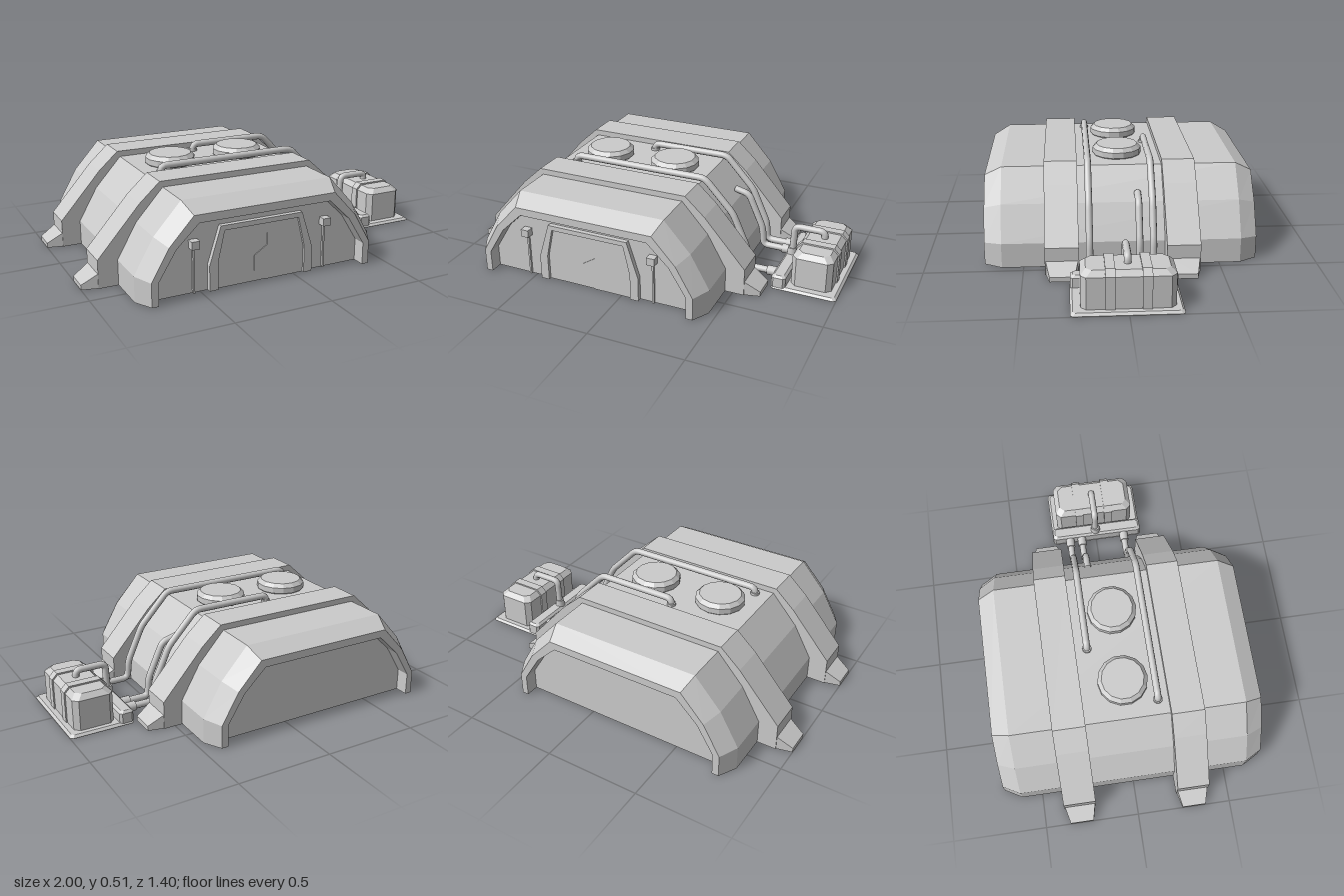
import * as THREE from 'three';

const flat = new THREE.MeshStandardMaterial({ color: 0xcccccc, flatShading: true, side: THREE.DoubleSide });
const smooth = new THREE.MeshStandardMaterial({ color: 0xcccccc });

function add(parent, name, geometry, material = flat) {
  const mesh = new THREE.Mesh(geometry, material);
  mesh.name = name;
  parent.add(mesh);
  return mesh;
}

// Skin over a list of cross-sections, each a list of [x, y, z]
function loft(rings, closed) {
  const n = rings[0].length, pos = [];
  for (let i = 0; i < rings.length - 1; i++) {
    for (let j = 0; j < (closed ? n : n - 1); j++) {
      const k = (j + 1) % n;
      const a = rings[i][j], b = rings[i][k], c = rings[i + 1][k], d = rings[i + 1][j];
      pos.push(...a, ...d, ...c, ...a, ...c, ...b);
    }
  }
  const g = new THREE.BufferGeometry();
  g.setAttribute('position', new THREE.Float32BufferAttribute(pos, 3));
  g.computeVertexNormals();
  return g;
}

// Half profile (x > 0, bottom to top) mirrored into a full arch
const arch = half => [...half, ...half.map(([x, y]) => [-x, y]).reverse()];
const toShape = pts => new THREE.Shape(pts.map(([x, y]) => new THREE.Vector2(x, y)));

function slab(pts, depth, z) {
  return new THREE.ExtrudeGeometry(toShape(pts), { depth, bevelEnabled: false }).translate(0, 0, z);
}

// Pipe through points with rounded corners
function pipe(points, radius, bend = 0.03) {
  const p = points.map(q => new THREE.Vector3(...q));
  const path = new THREE.CurvePath();
  let from = p[0];
  for (let i = 1; i < p.length - 1; i++) {
    const a = p[i].clone().add(p[i - 1].clone().sub(p[i]).setLength(bend));
    const b = p[i].clone().add(p[i + 1].clone().sub(p[i]).setLength(bend));
    path.add(new THREE.LineCurve3(from, a));
    path.add(new THREE.QuadraticBezierCurve3(a, p[i], b));
    from = b;
  }
  path.add(new THREE.LineCurve3(from, p[p.length - 1]));
  return new THREE.TubeGeometry(path, 90, radius, 10);
}

// Block with cut vertical corners and a bevelled top
function bevelBlock(x0, x1, z0, z1, y0, y1, c) {
  const ring = (y, s) => {
    const [a, b, d, e] = [x0 + s, x1 - s, z0 + s, z1 - s];
    return [[b, y, d + c], [b, y, e - c], [b - c, y, e], [a + c, y, e],
      [a, y, e - c], [a, y, d + c], [a + c, y, d], [b - c, y, d]];
  };
  const centre = y => Array(8).fill([(x0 + x1) / 2, y, (z0 + z1) / 2]);
  return loft([centre(y0), ring(y0, 0), ring(y1 - c, 0), ring(y1, c), centre(y1)], true);
}

const HULL = [[0.64, 0], [0.64, 0.13], [0.54, 0.305], [0.40, 0.46]];
const END = [[0.59, 0], [0.59, 0.12], [0.50, 0.275], [0.375, 0.41]];
const OPENING = [[0.555, 0], [0.555, 0.115], [0.465, 0.26], [0.35, 0.37]];
const RIB = [[0.74, 0], [0.74, 0.145], [0.52, 0.395], [0.415, 0.49]];

function createBuilding() {
  const building = new THREE.Group();
  building.name = 'building';

  // Shell with bevelled ends and a reveal around each end wall
  const sections = [[OPENING, 0.63], [OPENING, 0.7], [END, 0.7], [HULL, 0.61],
    [HULL, -0.61], [END, -0.7], [OPENING, -0.7], [OPENING, -0.63]];
  add(building, 'shell', loft(sections.map(([half, z]) => arch(half).map(([x, y]) => [x, y, z])), false));
  add(building, 'frontWall', new THREE.ShapeGeometry(toShape(arch(OPENING))).translate(0, 0, 0.63));
  add(building, 'backWall', new THREE.ShapeGeometry(toShape(arch(OPENING))).rotateY(Math.PI).translate(0, 0, -0.63));

  // Two arched ribs, each with a tapered foot on both sides
  for (const z of [0.305, -0.305]) {
    const band = [...arch(RIB), ...arch(HULL.map(([x, y]) => [x - 0.005, y && y - 0.005])).reverse()];
    add(building, 'rib', slab(band, 0.17, z - 0.085));
    const ring = (x, y, w) => [[x, y, w], [x, y, -w], [x, 0, -w], [x, 0, w]];
    for (const turn of [0, Math.PI]) {
      const foot = add(building, 'foot', loft([ring(0.73, 0.08, 0.083), ring(0.82, 0.025, 0.062),
        Array(4).fill([0.82, 0.012, 0])], true));
      foot.position.z = z;
      foot.rotation.y = turn;
    }
  }

  // Door frame and the two interlocking leaves
  const frameOuter = arch([[0.28, 0], [0.28, 0.13], [0.22, 0.32]]);
  const frameInner = arch([[0.235, 0], [0.235, 0.14], [0.2, 0.295]]);
  add(building, 'doorFrame', slab([...frameOuter, ...frameInner.slice().reverse()], 0.025, 0.63));
  const seam = [[-0.015, 0.295], [0.035, 0.265], [0.035, 0.18], [-0.035, 0.135], [-0.035, 0.055], [0.03, 0]];
  add(building, 'leftDoorLeaf', slab([...frameInner.slice(0, 3), ...seam], 0.012, 0.63));
  add(building, 'rightDoorLeaf', slab([...frameInner.slice(3), ...seam.slice().reverse()], 0.008, 0.63));

  // Lamps on thin conduits beside the door
  for (const side of [-1, 1]) {
    add(building, 'lamp', new THREE.BoxGeometry(0.042, 0.04, 0.04).translate(side * 0.355, 0.25, 0.65));
    add(building, 'lampConduit', new THREE.BoxGeometry(0.01, 0.235, 0.012).translate(side * 0.355, 0.1175, 0.636));
  }

  // Roof vents
  for (const x of [-0.2, 0.19]) {
    const profile = [[0.115, 0.45], [0.13, 0.465], [0.13, 0.495], [0.11, 0.515], [0, 0.515]];
    const vent = add(building, 'roofVent', new THREE.LatheGeometry(profile.map(q => new THREE.Vector2(...q)), 14));
    vent.position.x = x;
  }
  return building;
}

function createGenerator() {
  const generator = new THREE.Group();
  generator.name = 'generator';
  add(generator, 'basePlate', bevelBlock(0.66, 1, -0.258, 0.27, 0, 0.014, 0.012));
  add(generator, 'manifold', bevelBlock(0.66, 0.735, -0.255, 0.267, 0.01, 0.075, 0.012));
  add(generator, 'tank', bevelBlock(0.748, 0.96, -0.222, 0.222, 0.01, 0.2, 0.026));

  // Straps around the tank
  const strap = [[0.74, 0.01], [0.74, 0.178], [0.769, 0.208], [0.938, 0.208], [0.967, 0.178], [0.967, 0.01]];
  for (const z of [-0.085, 0.085]) add(generator, 'strap', slab(strap, 0.046, z - 0.023));

  // Pipe from the manifold over into the tank
  add(generator, 'tankPipe', pipe([[0.692, 0.06, 0], [0.7, 0.234, 0], [0.86, 0.234, 0], [0.86, 0.19, 0]], 0.018), smooth);
  add(generator, 'pipeCollar', new THREE.CylinderGeometry(0.024, 0.028, 0.04, 12).translate(0.692, 0.09, 0), smooth);
  return generator;
}

function createSupplyPipes() {
  const pipes = new THREE.Group();
  pipes.name = 'supplyPipes';
  const drop = [[0.41, 0.325], [0.495, 0.14], [0.505, 0.04], [0.66, 0.04]];
  const starts = [
    [0.165, [[-0.5, 0.44], [-0.5, 0.496], [0.25, 0.496]]],
    [-0.158, [[-0.18, 0.44], [-0.18, 0.496], [0.25, 0.496]]],
    [-0.088, [[0.33, 0.345]]],
  ];
  for (const [z, start] of starts) {
    add(pipes, 'supplyPipe', pipe([...start, ...drop].map(([x, y]) => [x, y, z]), 0.018), smooth);
    add(pipes, 'pipeFitting', new THREE.CylinderGeometry(0.025, 0.025, 0.05, 12)
      .rotateZ(Math.PI / 2).translate(0.637, 0.04, z), smooth);
    // Flange where a pipe enters the roof
    if (start.length > 1) {
      add(pipes, 'roofFlange', new THREE.CylinderGeometry(0.024, 0.024, 0.014, 12)
        .translate(start[0][0], 0.466, z), smooth);
    }
  }
  return pipes;
}

export function createModel() {
  const model = new THREE.Group();
  model.name = 'shelter';
  const building = createBuilding();
  building.position.x = -0.18;
  model.add(building, createGenerator(), createSupplyPipes());
  return model;
}
